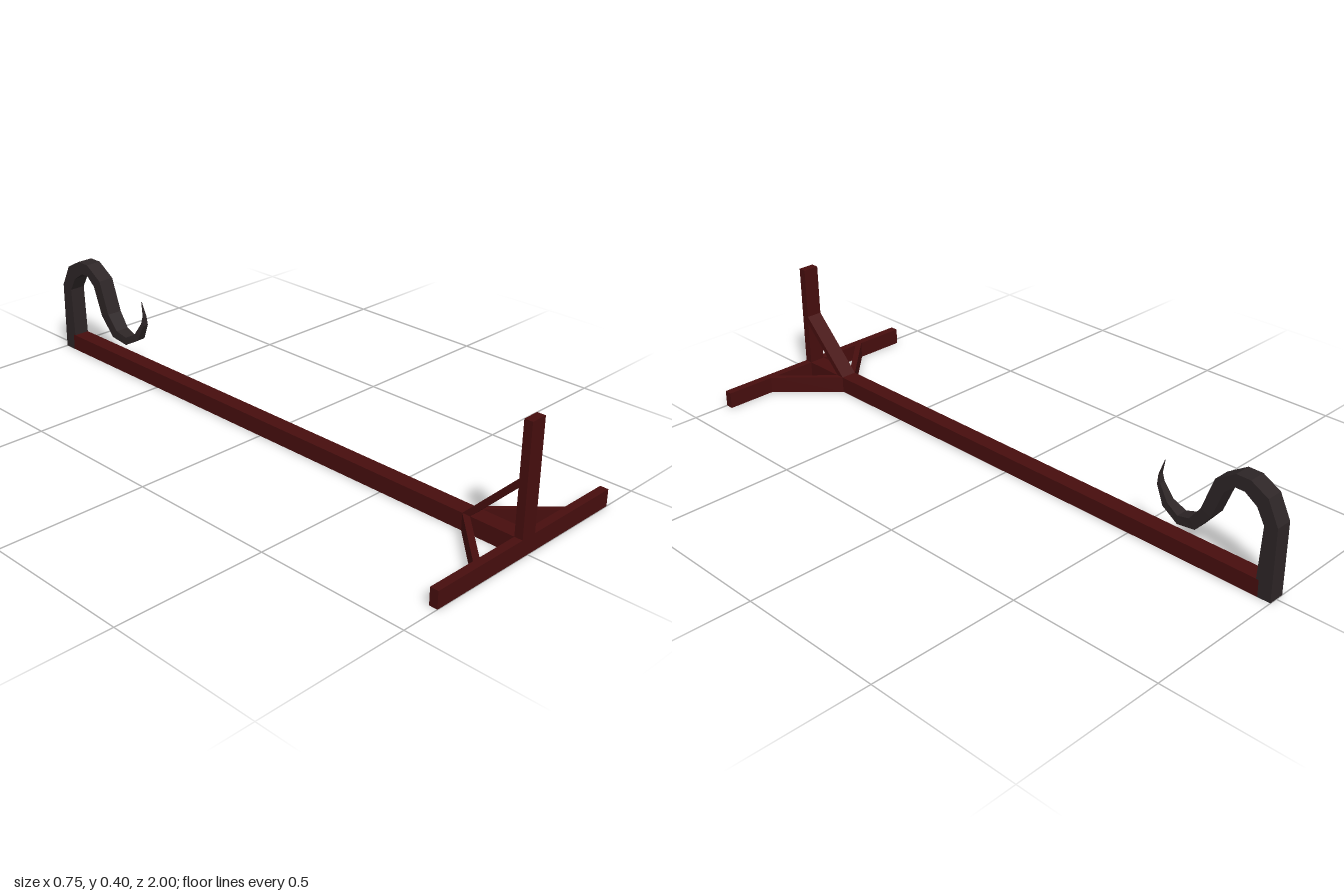
import * as THREE from 'three';

const HALF = 0.0275;          // half thickness of the square beam
const BAR_BACK = 0.973;       // rear face of the front bar and upright

// Tapering flat-sided strip: each section is [outer z, outer y, inner z, inner y, half width]
function hookGeometry(sections) {
  const positions = [], index = [];
  for (const [az, ay, bz, by, w] of sections) {
    positions.push(-w, ay, az, w, ay, az, w, by, bz, -w, by, bz);
  }
  for (let s = 0; s < sections.length - 1; s++) {
    for (let i = 0; i < 4; i++) {
      const a = s * 4 + i, b = s * 4 + (i + 1) % 4;
      index.push(b, a, a + 4, b, a + 4, b + 4);
    }
  }
  const e = (sections.length - 1) * 4;
  index.push(0, 1, 2, 0, 2, 3, e, e + 2, e + 1, e, e + 3, e + 2);
  const geometry = new THREE.BufferGeometry();
  geometry.setAttribute('position', new THREE.Float32BufferAttribute(positions, 3));
  geometry.setIndex(index);
  const flat = geometry.toNonIndexed();
  flat.computeVertexNormals();
  return flat;
}

export function createModel() {
  const model = new THREE.Group();
  model.name = 'hookedBeam';
  const redPaint = new THREE.MeshStandardMaterial({ color: 0x470e0e, flatShading: true });
  redPaint.name = 'dark red paint';
  const iron = new THREE.MeshStandardMaterial({ color: 0x2d2526, flatShading: true });
  iron.name = 'dark iron';

  function add(name, geometry, material, x, y, z) {
    const mesh = new THREE.Mesh(geometry, material);
    mesh.name = name;
    mesh.position.set(x, y, z);
    model.add(mesh);
    return mesh;
  }

  // Long beam, front cross bar and upright post
  const depth = 1 - BAR_BACK, barZ = (1 + BAR_BACK) / 2;
  const beamLength = BAR_BACK + 0.957;
  add('beam', new THREE.BoxGeometry(HALF * 2, HALF * 2, beamLength), redPaint,
    0, HALF, BAR_BACK - beamLength / 2);
  add('crossBar', new THREE.BoxGeometry(0.746, HALF * 2, depth), redPaint, 0, HALF, barZ);
  add('upright', new THREE.BoxGeometry(HALF * 2, 0.403 - HALF * 2, depth), redPaint,
    0, (0.403 + HALF * 2) / 2, barZ);

  // Three diagonal braces, turned around the beam
  const profile = new THREE.Shape([[0.175, 0], [0, 0.175], [0, 0.148], [0.148, 0]]
    .map(([x, y]) => new THREE.Vector2(x, y)));
  const brace = new THREE.ExtrudeGeometry(profile, { depth: HALF * 2, bevelEnabled: false });
  brace.translate(0, 0, -HALF).rotateY(Math.PI / 2);
  add('uprightBrace', brace, redPaint, 0, HALF * 2, BAR_BACK);
  for (const side of [-1, 1]) {
    add(side > 0 ? 'leftBrace' : 'rightBrace', brace, redPaint, side * HALF, HALF, BAR_BACK)
      .rotation.z = -side * Math.PI / 2;
  }

  // Swan-neck hook, thinning to a point
  add('hook', hookGeometry([
    [-1, 0, -0.945, 0, 0.0275],
    [-1, 0.235, -0.957, 0.225, 0.0275],
    [-0.963, 0.31, -0.93, 0.273, 0.0275],
    [-0.904, 0.342, -0.888, 0.301, 0.0275],
    [-0.856, 0.342, -0.856, 0.301, 0.0275],
    [-0.79, 0.3, -0.823, 0.273, 0.0275],
    [-0.75, 0.19, -0.786, 0.176, 0.027],
    [-0.711, 0.14, -0.733, 0.112, 0.024],
    [-0.668, 0.128, -0.668, 0.101, 0.02],
    [-0.626, 0.15, -0.61, 0.134, 0.015],
    [-0.594, 0.198, -0.583, 0.192, 0.01],
    [-0.589, 0.225, -0.583, 0.222, 0.006],
    [-0.6, 0.272, -0.599, 0.272, 0.001],
  ]), iron, 0, 0, 0);

  return model;
}
